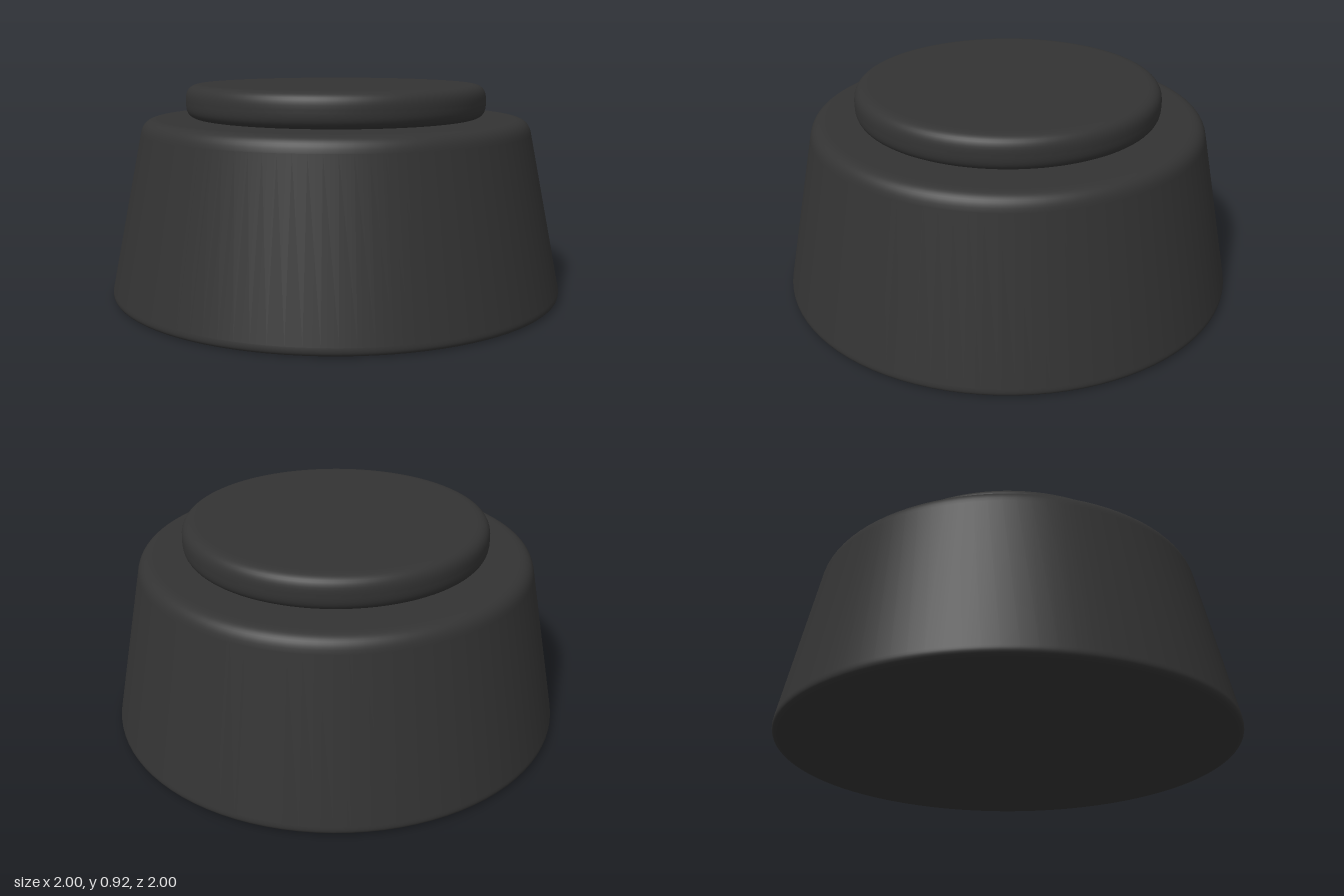
import * as THREE from 'three';

// Closed profile from the axis, around rounded corners, back to the axis.
// Each corner is [radius, height, fillet length].
function roundedLathe(corners, segments = 96) {
  const ends = [[0, corners[0][1]], ...corners, [0, corners[corners.length - 1][1]]]
    .map(([x, y]) => new THREE.Vector2(x, y));
  const points = [ends[0]];
  corners.forEach(([, , fillet], i) => {
    const corner = ends[i + 1];
    const towards = (other, d) =>
      corner.clone().add(other.clone().sub(corner).setLength(d));
    const curve = new THREE.QuadraticBezierCurve(
      towards(ends[i], fillet), corner, towards(ends[i + 2], fillet));
    // Extra points beside the fillet keep the flat areas evenly shaded
    points.push(towards(ends[i], fillet * 1.08), ...curve.getPoints(10),
      towards(ends[i + 2], fillet * 1.08));
  });
  points.push(ends[ends.length - 1]);
  return new THREE.LatheGeometry(points, segments);
}

export function createModel() {
  const model = new THREE.Group();
  model.name = 'roundKnob';

  const darkRubber = new THREE.MeshStandardMaterial({ color: 0x333333 });
  darkRubber.name = 'dark rubber';

  // Tapered body with a soft top edge and a tight bottom edge
  const body = new THREE.Mesh(
    roundedLathe([[1.007, 0, 0.035], [0.849, 0.775, 0.06]]), darkRubber);
  body.name = 'body';

  // Raised disc with rounded rims, resting on the body
  const topDisc = new THREE.Mesh(
    roundedLathe([[0.665, 0.775, 0.06], [0.665, 0.922, 0.065]]), darkRubber);
  topDisc.name = 'topDisc';

  model.add(body, topDisc);
  return model;
}
